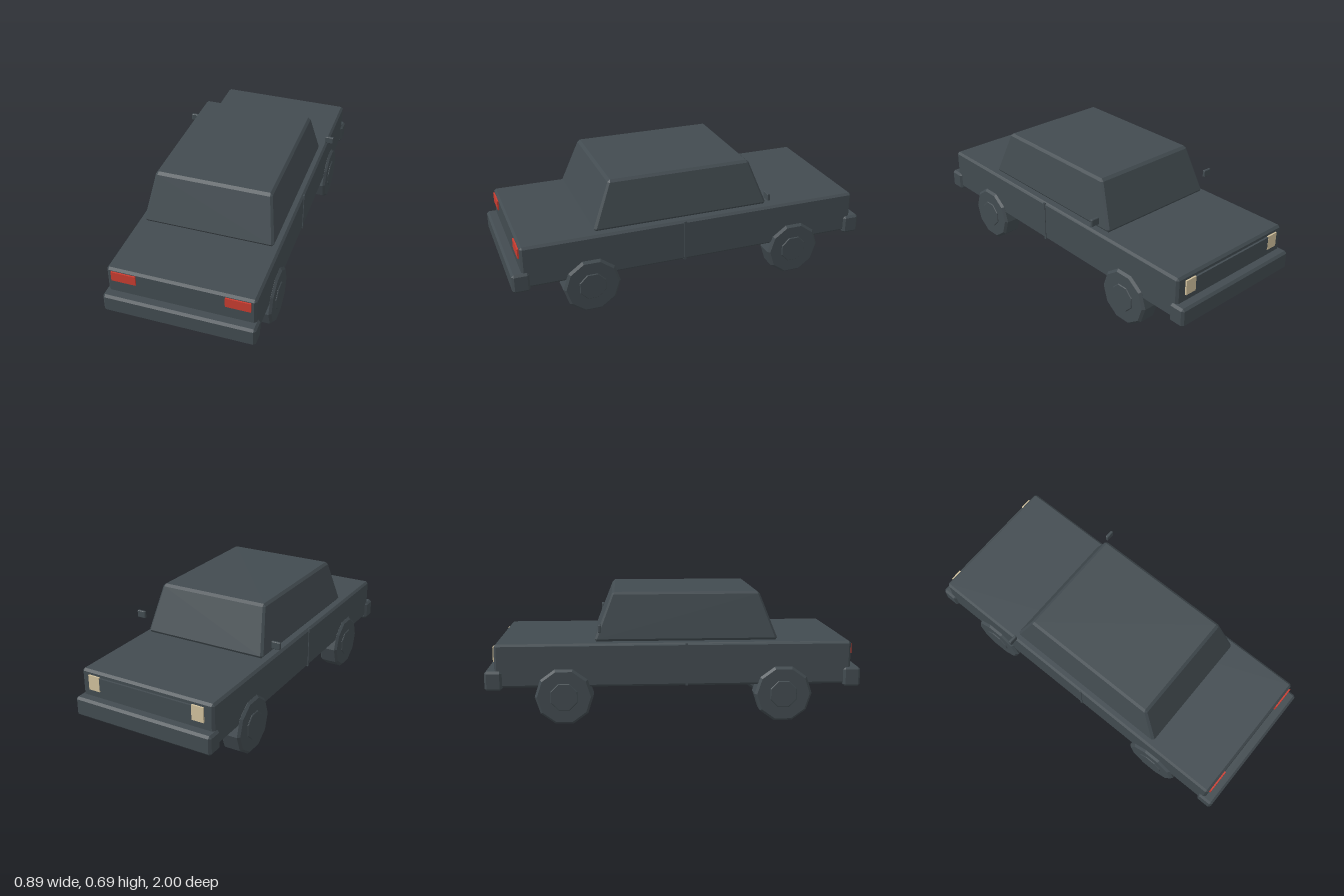
import * as THREE from 'three';
import { ConvexGeometry } from 'three/addons/geometries/ConvexGeometry.js';

// Chamfered box; an optional taper narrows x and z towards the top.
function chamferBox(w, h, d, b, topX = 1, topZ = 1) {
  const pts = [];
  for (const sx of [-1, 1]) for (const sy of [-1, 1]) for (const sz of [-1, 1]) {
    for (let axis = 0; axis < 3; axis++) {
      const inset = [b, b, b];
      inset[axis] = 0;
      const p = new THREE.Vector3(
        sx * (w / 2 - inset[0]), sy * (h / 2 - inset[1]), sz * (d / 2 - inset[2]));
      const t = p.y / h + 0.5;
      p.x *= 1 + (topX - 1) * t;
      p.z *= 1 + (topZ - 1) * t;
      pts.push(p);
    }
  }
  return new ConvexGeometry(pts);
}

// Faceted, chamfered disc lying along the x axis.
function disc(radius, width, bevel, sides, turn = 0) {
  const h = width / 2;
  const profile = [
    [0, -h], [radius - bevel, -h], [radius, -h + bevel],
    [radius, h - bevel], [radius - bevel, h], [0, h],
  ].map(([x, y]) => new THREE.Vector2(x, y));
  const g = new THREE.LatheGeometry(profile, sides, turn).toNonIndexed();
  g.rotateZ(-Math.PI / 2);
  g.computeVertexNormals();
  return g;
}

export function createModel() {
  const car = new THREE.Group();
  car.name = 'car';

  const paint = (name, color) => {
    const m = new THREE.MeshStandardMaterial({ color });
    m.name = name;
    return m;
  };
  const slate = paint('dark slate', 0x424b50);
  const red = paint('tail light red', 0xc83c30);
  const cream = paint('headlight cream', 0xd0c09c);

  const add = (name, geometry, material, x, y, z) => {
    const mesh = new THREE.Mesh(geometry, material);
    mesh.name = name;
    mesh.position.set(x, y, z);
    car.add(mesh);
    return mesh;
  };

  // Lower body and the tapered cabin just above it
  add('body', chamferBox(0.776, 0.232, 1.894, 0.012), slate, 0, 0.316, 0);
  add('cabin', chamferBox(0.714, 0.258, 0.984, 0.013, 0.877, 0.793), slate, 0, 0.566, 0.066);

  // Bumpers
  const bumper = chamferBox(0.8, 0.105, 0.092, 0.012);
  add('rearBumper', bumper, slate, 0, 0.238, 0.954);
  add('frontBumper', bumper, slate, 0, 0.238, -0.954);

  // Grille between the headlights
  add('grille', new THREE.BoxGeometry(0.544, 0.07, 0.014), slate, 0, 0.37, -0.951);

  const tyre = disc(0.155, 0.112, 0.013, 10);
  const hub = disc(0.077, 0.122, 0.004, 8, Math.PI / 8);
  const mirror = chamferBox(0.05, 0.04, 0.016, 0.003);
  const seam = new THREE.BoxGeometry(0.009, 0.228, 0.014);
  const tailLight = new THREE.BoxGeometry(0.13, 0.054, 0.009);
  const headlight = new THREE.BoxGeometry(0.066, 0.08, 0.009);

  for (const [side, s] of [['left', 1], ['right', -1]]) {
    // Wheels
    for (const [end, z] of [['Rear', 0.585], ['Front', -0.585]]) {
      add(side + end + 'Tyre', tyre, slate, s * 0.346, 0.15, z);
      add(side + end + 'Hub', hub, slate, s * 0.346, 0.15, z);
    }
    // Door seam and wing mirror
    add(side + 'DoorSeam', seam, slate, s * 0.3875, 0.316, 0.065);
    add(side + 'Mirror', mirror, slate, s * 0.418, 0.519, -0.392);
    // Lights
    add(side + 'TailLight', tailLight, red, s * 0.297, 0.389, 0.951);
    add(side + 'Headlight', headlight, cream, s * 0.305, 0.37, -0.9545);
  }

  return car;
}
